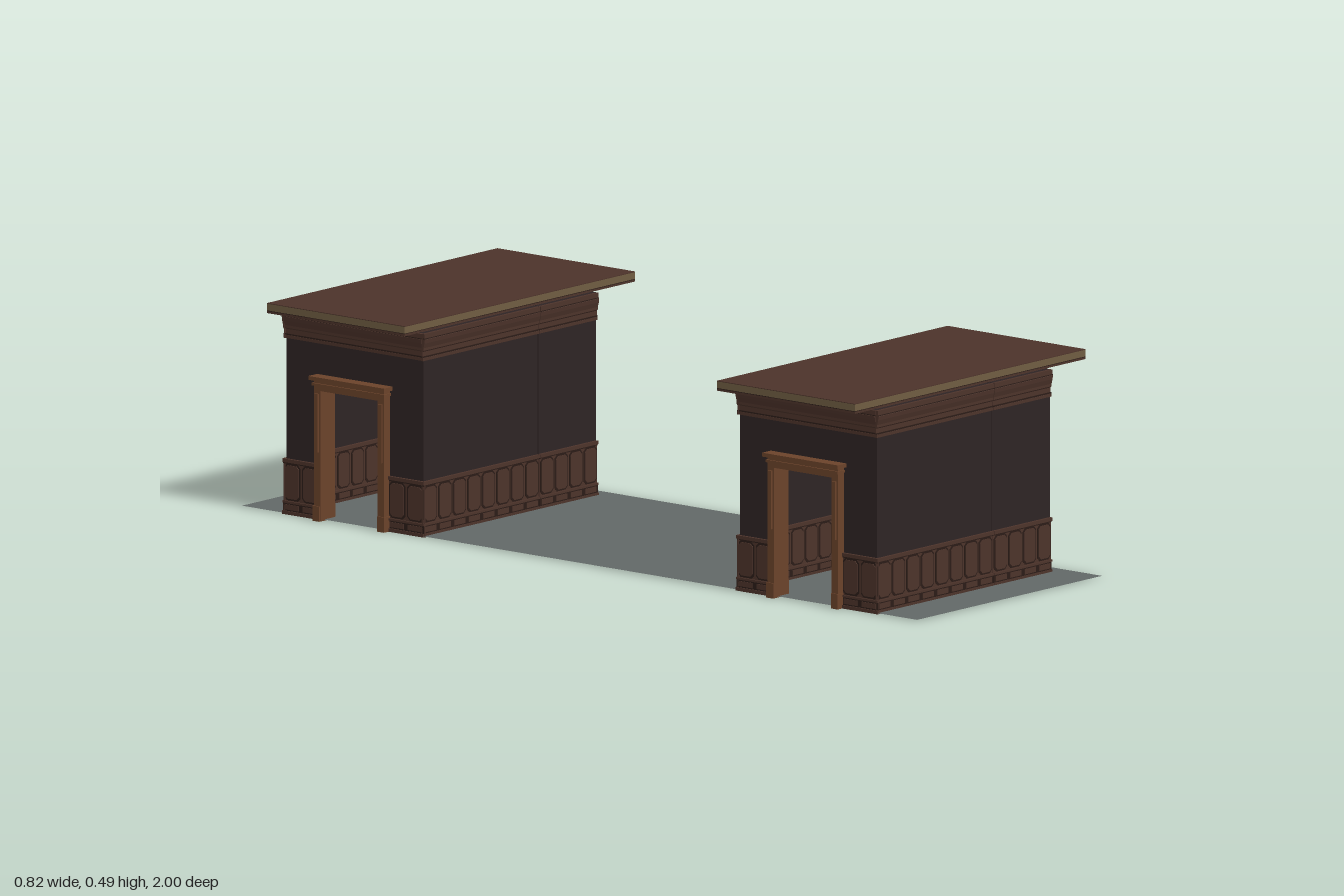
import * as THREE from 'three';

const mat = (name, color, side = THREE.FrontSide) => {
  const m = new THREE.MeshStandardMaterial({ color, side });
  m.name = name;
  return m;
};
const wood = mat('brown wood', 0x4c332a);
const groove = mat('dark groove', 0x2b1c17);
const wallPaint = mat('dark wall', 0x2e2424);
const trim = mat('door trim wood', 0x6b432a);
const tan = mat('roof edge tan', 0x6f5d42);
const stone = mat('grey floor', 0x626867, THREE.DoubleSide);

const WALL_H = 0.47, OUT = 0.203, IN = 0.191;   // wall height and side wall faces
const END_OUT = -0.352, END_IN = -0.34;         // end wall faces
const DOOR = 0.088, DOOR_H = 0.302;

function add(parent, name, geo, material) {
  const mesh = new THREE.Mesh(geo, material);
  mesh.name = name;
  parent.add(mesh);
  return mesh;
}

// Box given by its limits on each axis
function box(parent, name, material, [x0, x1], [y0, y1], [z0, z1]) {
  const geo = new THREE.BoxGeometry(x1 - x0, y1 - y0, z1 - z0);
  geo.translate((x0 + x1) / 2, (y0 + y1) / 2, (z0 + z1) / 2);
  return add(parent, name, geo, material);
}

const points = (pts) => pts.map(([x, y]) => new THREE.Vector2(x, y));
const extrude = (shape, depth) => new THREE.ExtrudeGeometry(shape, { depth, bevelEnabled: false });

// Rectangle with cut corners
function cutPlate(w, h, c, depth) {
  const a = w / 2, b = h / 2;
  return extrude(new THREE.Shape(points([
    [-a + c, -b], [a - c, -b], [a, -b + c], [a, b - c],
    [a - c, b], [-a + c, b], [-a, b - c], [-a, -b + c]])), depth);
}

// Square ring for the ceiling coffers
function ring(outer, inner, depth) {
  const square = (s) => points([[-s, -s], [s, -s], [s, s], [-s, s]]);
  const shape = new THREE.Shape(square(outer / 2));
  shape.holes.push(new THREE.Path(square(inner / 2)));
  return extrude(shape, depth);
}

// Panelled lower wall: runs along +x from 0, faces +z
function wainscot(len, count) {
  const g = new THREE.Group();
  g.name = 'wainscot';
  const run = [0, len], pitch = len / count;
  box(g, 'board', wood, run, [0, 0.122], [0, 0.003]);
  box(g, 'topRail', wood, run, [0.12, 0.128], [0, 0.007]);
  box(g, 'railShadow', groove, run, [0.117, 0.12], [0, 0.0045]);
  box(g, 'baseBoard', groove, run, [0.002, 0.03], [0, 0.005]);
  box(g, 'plinth', wood, run, [0, 0.008], [0, 0.008]);
  box(g, 'baseCap', wood, run, [0.026, 0.031], [0, 0.007]);
  for (let i = 0; i < count; i++) {
    const x = pitch * (i + 0.5);
    const back = add(g, 'panelGroove', cutPlate(pitch * 0.9, 0.085, 0.008, 0.004), groove);
    back.position.set(x, 0.075, 0);
    const face = add(g, 'panel', cutPlate(pitch * 0.76, 0.077, 0.007, 0.006), wood);
    face.position.set(x, 0.075, 0);
    box(g, 'baseBlock', wood, [x - pitch * 0.38, x + pitch * 0.38], [0.011, 0.023], [0, 0.0065]);
  }
  return g;
}

// Stepped moulding under the roof: runs along +x from 0, faces +z
function cornice(len) {
  const g = new THREE.Group();
  g.name = 'cornice';
  const profile = new THREE.Shape(points([
    [0, 0.407], [0.004, 0.407], [0.004, 0.414], [0.002, 0.417], [0.002, 0.428], [0.005, 0.431],
    [0.005, 0.437], [0.008, 0.448], [0.009, 0.457], [0.0075, 0.459], [0.0075, WALL_H], [0, WALL_H]]));
  const geo = extrude(profile, len);
  geo.rotateY(-Math.PI / 2);
  geo.translate(len, 0, 0);
  add(g, 'moulding', geo, wood);
  box(g, 'lowerLine', groove, [0, len], [0.4145, 0.4175], [0, 0.0042]);
  box(g, 'upperLine', groove, [0, len], [0.457, 0.4595], [0, 0.0085]);
  return g;
}

function place(parent, part, x, z, angle) {
  part.position.set(x, 0, z);
  part.rotation.y = angle;
  parent.add(part);
}

function sideWalls(room) {
  // Each wall is two lengths with a fine seam between them
  for (const [x0, x1, count] of [[-0.358, 0.0495, 8], [0.0515, 0.255, 4]]) {
    for (const s of [1, -1]) {
      const ix0 = Math.max(x0, END_IN);
      const zs = s > 0 ? [IN, OUT] : [-OUT, -IN];
      box(room, 'sideWall', wallPaint, [Math.max(x0, END_OUT), x1], [0, WALL_H], zs);
      for (const make of [wainscot, cornice]) {
        place(room, make(x1 - x0, count), s > 0 ? x0 : x1, s * OUT, s > 0 ? 0 : Math.PI);
        place(room, make(x1 - ix0, count), s > 0 ? x1 : ix0, s * IN, s > 0 ? Math.PI : 0);
      }
    }
  }
}

function endWall(room) {
  const shape = new THREE.Shape(points([
    [-OUT, 0], [-DOOR, 0], [-DOOR, DOOR_H], [DOOR, DOOR_H], [DOOR, 0], [OUT, 0], [OUT, WALL_H], [-OUT, WALL_H]]));
  const geo = extrude(shape, END_IN - END_OUT);
  geo.rotateY(Math.PI / 2);
  geo.translate(END_OUT, 0, 0);
  add(room, 'endWall', geo, wallPaint);
  const q = Math.PI / 2, edge = DOOR + 0.014;
  place(room, cornice(2 * OUT), END_OUT, -OUT, -q);
  place(room, cornice(2 * IN), END_IN, IN, q);
  for (const s of [1, -1]) {
    const wOut = OUT + 0.006 - edge, wIn = IN - edge;
    place(room, wainscot(wOut, 2), END_OUT, s > 0 ? edge : -edge - wOut, -q);
    place(room, wainscot(wIn, 2), END_IN, s > 0 ? IN : -edge, q);
  }
}

function doorFrame(room) {
  const g = new THREE.Group();
  g.name = 'doorFrame';
  const x = [-0.373, -0.322];
  for (const s of [1, -1]) {
    const span = (a, b) => (s > 0 ? [a, b] : [-b, -a]);
    box(g, 'jamb', trim, x, [0, DOOR_H], span(DOOR - 0.003, DOOR + 0.016));
    box(g, 'jambPanel', trim, [-0.378, -0.317], [0.16, 0.295], span(DOOR + 0.001, DOOR + 0.012));
    box(g, 'jambPlinth', trim, [-0.376, -0.319], [0, 0.035], span(DOOR - 0.002, DOOR + 0.018));
  }
  const half = DOOR + 0.016;
  box(g, 'header', trim, x, [DOOR_H, 0.326], [-half, half]);
  box(g, 'headerBand', trim, [-0.377, -0.318], [0.313, 0.319], [-half - 0.003, half + 0.003]);
  box(g, 'headerCap', trim, [-0.383, -0.312], [0.326, 0.335], [-half - 0.008, half + 0.008]);
  room.add(g);
}

// Flat roof with a coffered underside
function roof(w, d) {
  const g = new THREE.Group();
  g.name = 'roof';
  const x = [-w / 2, w / 2], z = [-d / 2, d / 2];
  box(g, 'roofSlab', tan, x, [0.475, 0.4905], z);
  box(g, 'roofTop', wood, x, [0.4905, 0.492], z);
  box(g, 'ceilingBoard', groove, x, [0.4735, 0.475], z);
  const tx = w / 4, tz = d / 2;
  for (let i = 0; i < 4; i++) {
    for (let j = 0; j < 2; j++) {
      for (const [outer, inner, depth] of [[1, 0.8, 0.005], [0.7, 0.6, 0.003], [0.5, 0.001, 0.002]]) {
        const geo = ring(outer, inner, depth);
        geo.rotateX(Math.PI / 2);
        geo.scale(tx, 1, tz);
        const m = add(g, 'coffer', geo, wood);
        m.position.set((i - 1.5) * tx, 0.4738, (j - 0.5) * tz);
      }
    }
  }
  return g;
}

export function createModel() {
  const model = new THREE.Group();
  model.name = 'twoPanelledRooms';

  // Floor sheet shared by both rooms
  const floor = new THREE.PlaneGeometry(0.65, 2);
  floor.rotateX(-Math.PI / 2);
  floor.translate(-0.035, 0.003, 0);
  add(model, 'floor', floor, stone);

  // Two matching rooms, open on the left end, roofs slightly offset
  for (const [name, z, roofX] of [['frontRoom', 0.672, -0.008], ['backRoom', -0.672, 0.005]]) {
    const room = new THREE.Group();
    room.name = name;
    room.position.z = z;
    sideWalls(room);
    endWall(room);
    doorFrame(room);
    place(room, roof(0.81, 0.408), roofX, -0.016, 0);
    model.add(room);
  }
  return model;
}
